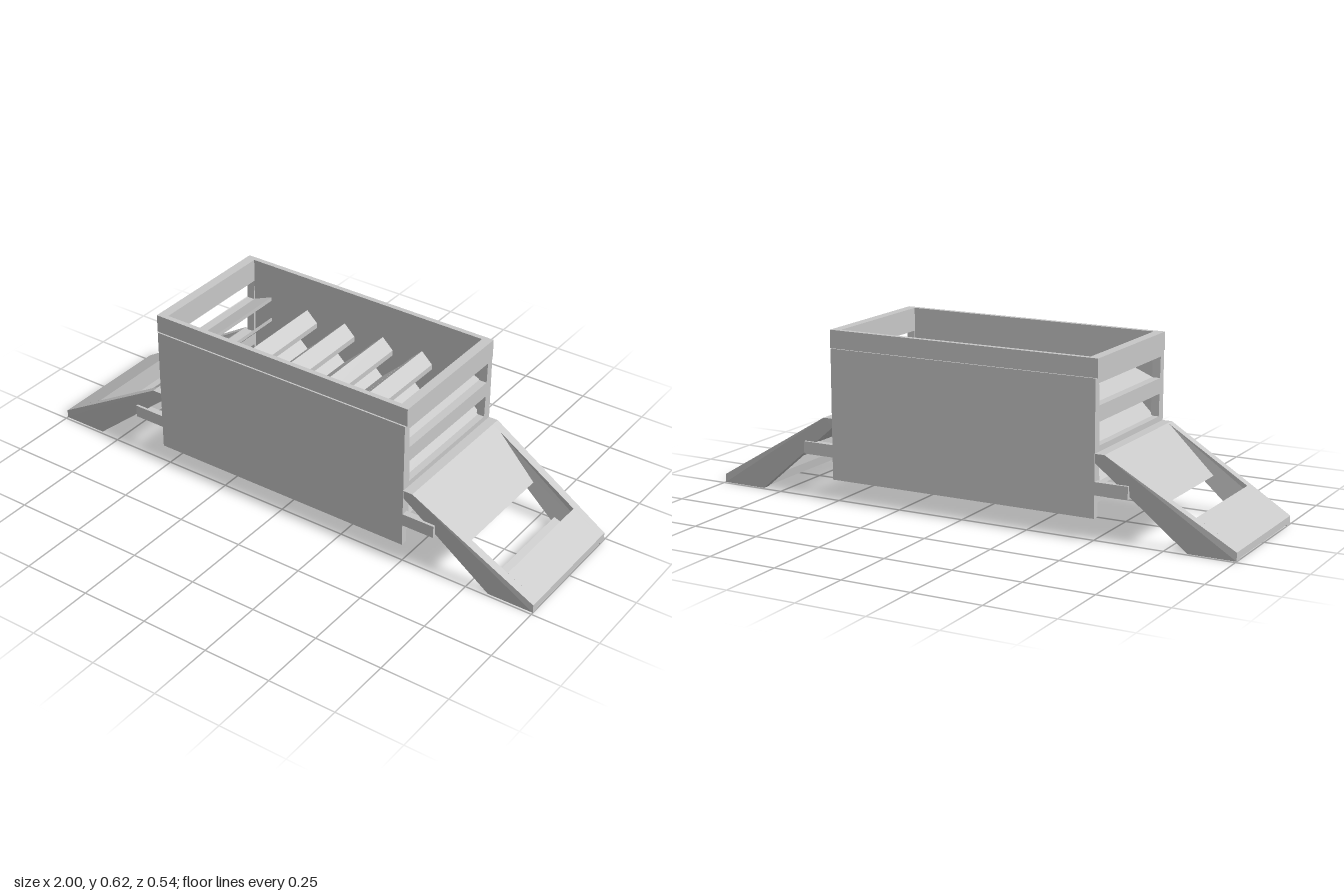
import * as THREE from 'three';

const grey = new THREE.MeshStandardMaterial({ color: 0xc8c8c8 });
grey.name = 'plain grey';

function add(parent, name, geometry) {
  const mesh = new THREE.Mesh(geometry, grey);
  mesh.name = name;
  parent.add(mesh);
  return mesh;
}

// Box given by its lower and upper corners
function box(parent, name, a, b) {
  const g = new THREE.BoxGeometry(b[0] - a[0], b[1] - a[1], b[2] - a[2]);
  g.translate((a[0] + b[0]) / 2, (a[1] + b[1]) / 2, (a[2] + b[2]) / 2);
  return add(parent, name, g);
}

// Side outline in x and y, extruded between two z values
function prism(points, z0, z1) {
  const shape = new THREE.Shape(points.map(([x, y]) => new THREE.Vector2(x, y)));
  const g = new THREE.ExtrudeGeometry(shape, { depth: z1 - z0, bevelEnabled: false });
  return g.translate(0, 0, z0);
}

// Ramps narrow towards the ground
function narrow(g) {
  const p = g.attributes.position;
  for (let i = 0; i < p.count; i++) {
    const t = THREE.MathUtils.clamp((0.295 - p.getY(i)) / 0.265, 0, 1);
    p.setZ(i, p.getZ(i) * (1 - 0.111 * t));
  }
  g.computeVertexNormals();
  return g;
}

const rampTop = x => 0.3 - 0.593 * (x - 0.545);
const ledge = x => 0.138 - 0.786 * (x - 0.73);

function makeRamp(windowStart, windowEnd, footStart) {
  const ramp = new THREE.Group();
  const inner = 0.238;

  // Two side cheeks
  const outline = [[0.51, 0.3], [0.545, 0.3], [1, 0.03], [1, 0], [0.83, 0], [0.51, 0.268]];
  for (const [a, b] of [[inner, 0.27], [-0.27, -inner]]) {
    add(ramp, 'rampCheek', narrow(prism(outline, a, b)));
  }

  // Upper lip running into the sunken floor
  add(ramp, 'rampFloor', narrow(prism([
    [0.51, 0.3], [0.545, 0.3], [windowStart, rampTop(windowStart)],
    [0.725, 0.138], [0.665, 0.138], [0.51, 0.268],
  ], -inner, inner)));

  // Foot, hollowed slightly underneath
  add(ramp, 'rampFoot', narrow(prism([
    [windowEnd, rampTop(windowEnd)], [1, 0.03], [1, 0.005], [footStart + 0.005, 0.005],
    [footStart, ledge(footStart) - 0.03], [windowEnd, ledge(windowEnd)],
  ], -inner, inner)));

  // Support bracket under the ramp
  for (const s of [-1, 1]) {
    const z = [s * 0.245, s * 0.27].sort((a, b) => a - b);
    box(ramp, 'bracketArm', [0.5, 0.16, z[0]], [0.63, 0.205, z[1]]);
  }
  box(ramp, 'bracketBar', [0.59, 0.16, -0.245], [0.63, 0.205, 0.245]);
  return ramp;
}

// End wall with slots, standing on two short legs
function makeEnd() {
  const end = new THREE.Group();
  const shape = new THREE.Shape([
    [-0.27, 0.08], [-0.245, 0.08], [-0.245, 0.13], [0.245, 0.13],
    [0.245, 0.08], [0.27, 0.08], [0.27, 0.55], [-0.27, 0.55],
  ].map(([z, y]) => new THREE.Vector2(z, y)));
  for (const [y0, y1, w] of [[0.455, 0.53, 0.243], [0.32, 0.4, 0.238], [0.185, 0.265, 0.236]]) {
    const hole = new THREE.Path();
    hole.moveTo(-w + 0.003, y0).lineTo(-w, y1).lineTo(w, y1).lineTo(w - 0.003, y0).closePath();
    shape.holes.push(hole);
  }
  const g = new THREE.ExtrudeGeometry(shape, { depth: 0.03, bevelEnabled: false });
  g.rotateY(Math.PI / 2).translate(0.48, 0, 0);
  add(end, 'endWall', g);
  box(end, 'endRim', [0.48, 0.55, -0.264], [0.515, 0.615, 0.264]);

  // Louvres that slope down behind the slots
  for (const [y, drop] of [[0.485, 0.035], [0.4, 0.085], [0.265, 0.085]]) {
    add(end, 'endLouvre', prism([
      [0.405, y], [0.49, y - drop], [0.49, y - drop - 0.015], [0.405, y - 0.015],
    ], -0.246, 0.246));
  }
  return end;
}

export function createModel() {
  const model = new THREE.Group();
  const body = new THREE.Group();
  body.name = 'body';
  model.add(body);

  // Long side walls and their raised rim
  for (const s of [-1, 1]) {
    const wall = [s * 0.245, s * 0.27].sort((a, b) => a - b);
    const rim = [s * 0.245, s * 0.264].sort((a, b) => a - b);
    box(body, 'sideWall', [-0.48, 0.08, wall[0]], [0.48, 0.55, wall[1]]);
    box(body, 'sideRim', [-0.48, 0.55, rim[0]], [0.48, 0.615, rim[1]]);
  }

  // Staggered layers of peaked slats: height, half width, drop, count
  const pitch = 0.163;
  const layers = [[0.485, 0.042, 0.04, 4], [0.4, 0.085, 0.08, 5], [0.2, 0.065, 0.075, 5]];
  for (const [top, half, drop, count] of layers) {
    for (let i = 0; i < count; i++) {
      const x = (i - (count - 1) / 2) * pitch;
      add(body, 'peakedSlat', prism([
        [x, top], [x + half, top - drop], [x + half, top - drop - 0.02],
        [x, top - 0.02], [x - half, top - drop - 0.02], [x - half, top - drop],
      ], -0.246, 0.246));
    }
  }

  // Both ends, the second turned half round
  [['leftEnd', 'leftRamp', 0.575, 0.887, 0.82, 0], ['rightEnd', 'rightRamp', 0.55, 0.85, 0.845, Math.PI]]
    .forEach(([endName, rampName, windowStart, windowEnd, footStart, turn]) => {
      const end = makeEnd();
      end.name = endName;
      const ramp = makeRamp(windowStart, windowEnd, footStart);
      ramp.name = rampName;
      end.rotation.y = ramp.rotation.y = turn;
      model.add(end, ramp);
    });
  return model;
}
